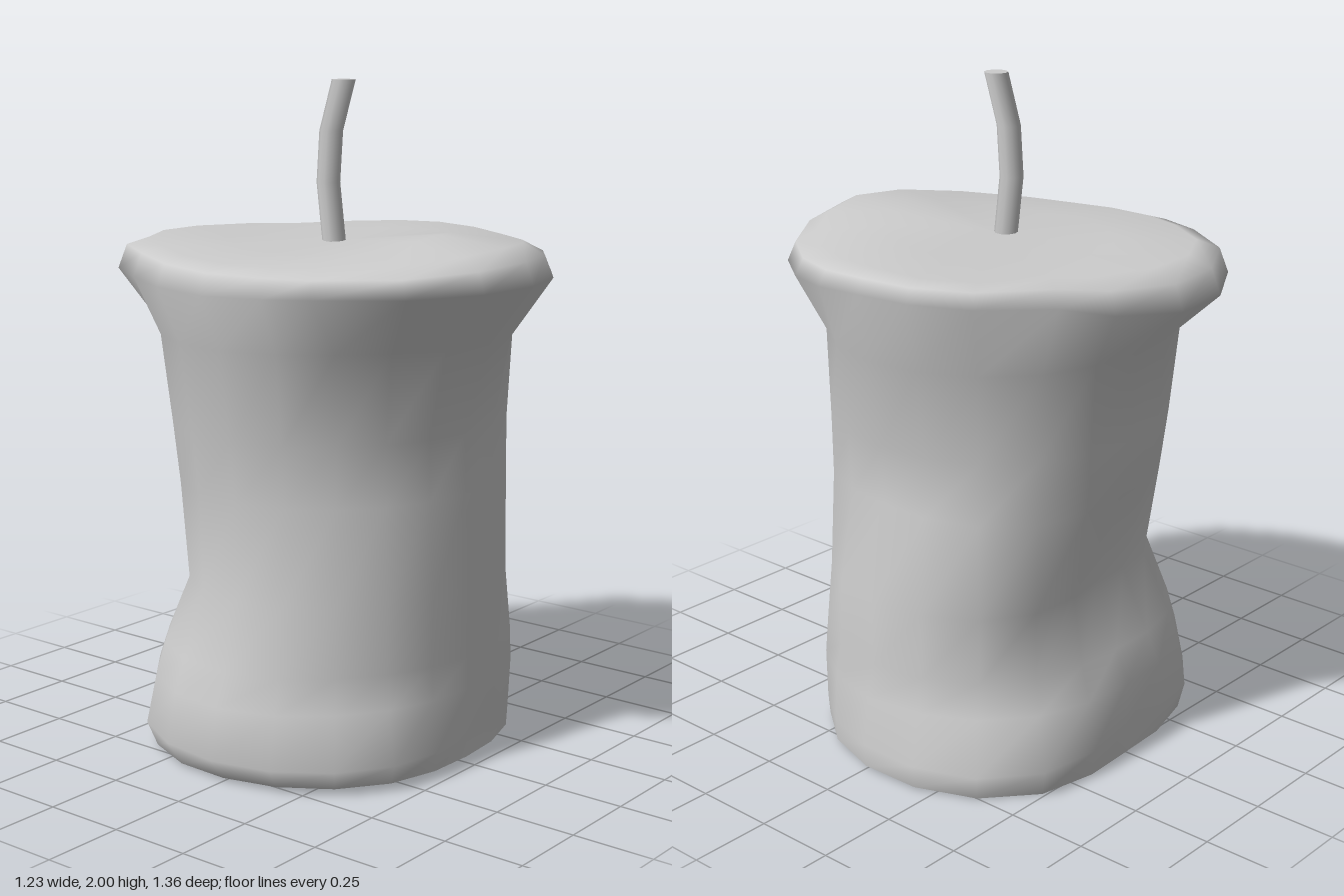
import * as THREE from 'three';

const SIDES = 20;

// Smoothly spread eight values (starting at +x, turning towards +z) around the ring
function spread(values) {
  const points = values.map(v => new THREE.Vector3(v, 0, 0));
  const curve = new THREE.CatmullRomCurve3(points, true, 'catmullrom', 0.5);
  return Array.from({ length: SIDES }, (_, i) => curve.getPoint(i / SIDES).x);
}

// Dented wax body: [height, radii in eight directions]
const BODY = [
  [0.01, [0.59, 0.52, 0.47, 0.53, 0.56, 0.585, 0.52, 0.62]],
  [0.08, [0.595, 0.525, 0.47, 0.565, 0.615, 0.61, 0.52, 0.645]],
  [0.23, [0.575, 0.53, 0.47, 0.505, 0.585, 0.58, 0.52, 0.57]],
  [0.33, [0.55, 0.525, 0.47, 0.48, 0.555, 0.55, 0.475, 0.535]],
  [0.53, [0.55, 0.505, 0.47, 0.48, 0.50, 0.47, 0.40, 0.53]],
  [0.82, [0.49, 0.50, 0.455, 0.455, 0.495, 0.50, 0.48, 0.55]],
  [1.00, [0.50, 0.50, 0.45, 0.455, 0.515, 0.52, 0.51, 0.53]],
  [1.27, [0.55, 0.505, 0.53, 0.50, 0.555, 0.55, 0.525, 0.565]],
];

// Outline of the flared rim, x and z, flattened at the back left
const RIM = [
  [0.61, -0.03], [0.59, 0.14], [0.51, 0.32], [0.39, 0.48], [0.21, 0.605],
  [0, 0.675], [-0.21, 0.655], [-0.4, 0.53], [-0.53, 0.31], [-0.575, 0.17],
  [-0.61, -0.02], [-0.58, -0.21], [-0.5, -0.38], [-0.37, -0.57], [-0.19, -0.67],
  [0, -0.68], [0.195, -0.6], [0.31, -0.495], [0.505, -0.36], [0.595, -0.2],
];

// Rim and uneven top: [scale of the outline, heights in eight directions]
const TOP = [
  [1, [1.48, 1.44, 1.45, 1.44, 1.43, 1.44, 1.42, 1.47]],
  [0.96, [1.52, 1.495, 1.515, 1.49, 1.49, 1.51, 1.495, 1.515]],
  [0.86, [1.535, 1.525, 1.55, 1.515, 1.51, 1.53, 1.53, 1.525]],
  [0.52, [1.535, 1.545, 1.57, 1.53, 1.52, 1.53, 1.525, 1.525]],
];

function bodyRings() {
  const rings = BODY.map(([y, radii], k) => spread(radii).map((r, i) => {
    const a = (i / SIDES) * Math.PI * 2;
    const z = r * Math.sin(a);
    // the foot is cut at a slight tilt
    return [r * Math.cos(a), k === 0 ? y + 0.019 * z : y, z];
  }));
  for (const [scale, heights] of TOP) {
    const ys = spread(heights);
    rings.push(RIM.map(([x, z], i) => [x * scale, ys[i], z * scale]));
  }
  return rings;
}

function toGeometry(positions, index) {
  const geometry = new THREE.BufferGeometry();
  geometry.setAttribute('position', new THREE.Float32BufferAttribute(positions, 3));
  geometry.setIndex(index);
  geometry.computeVertexNormals();
  return geometry;
}

// Skin the rings and close the top with a centre point
function skin(rings, centre) {
  const index = [];
  const last = rings.length * SIDES;
  rings.forEach((_, r) => {
    for (let i = 0; i < SIDES; i++) {
      const a = r * SIDES + i;
      const b = r * SIDES + (i + 1) % SIDES;
      if (r < rings.length - 1) index.push(a, a + SIDES, b, b, a + SIDES, b + SIDES);
      else index.push(a, last, b);
    }
  });
  return toGeometry([...rings.flat(2), ...centre], index);
}

// Flat fan seen from below
function footCap(ring) {
  const index = [];
  for (let i = 0; i < SIDES; i++) index.push(i, (i + 1) % SIDES, SIDES);
  return toGeometry([...ring.flat(), 0, 0.01, 0], index);
}

// Capped cylinder whose rows of vertices are moved onto a bent path
function bentCord(radius, path) {
  const rows = path.length - 1;
  const geometry = new THREE.CylinderGeometry(radius, radius, rows, 10, rows);
  const p = geometry.attributes.position;
  for (let i = 0; i < p.count; i++) {
    const [x, y, z] = path[Math.round(p.getY(i) + rows / 2)];
    p.setXYZ(i, p.getX(i) + x, y, p.getZ(i) + z);
  }
  return geometry;
}

export function createModel() {
  const group = new THREE.Group();
  group.name = 'candle';
  const material = new THREE.MeshStandardMaterial({ color: 0xcccccc });
  const add = (name, geometry) => {
    const mesh = new THREE.Mesh(geometry, material);
    mesh.name = name;
    group.add(mesh);
  };

  // Wax body with a separate base for a sharp bottom edge
  const rings = bodyRings();
  add('waxBody', skin(rings, [0, 1.53, 0]));
  add('base', footCap(rings[0]));

  // Bent wick with a level tip
  add('wick', bentCord(0.035, [
    [-0.025, 1.48, -0.008], [-0.026, 1.56, -0.018], [-0.025, 1.7, -0.036],
    [-0.019, 1.85, -0.03], [-0.01, 2, 0.01],
  ]));

  return group;
}
